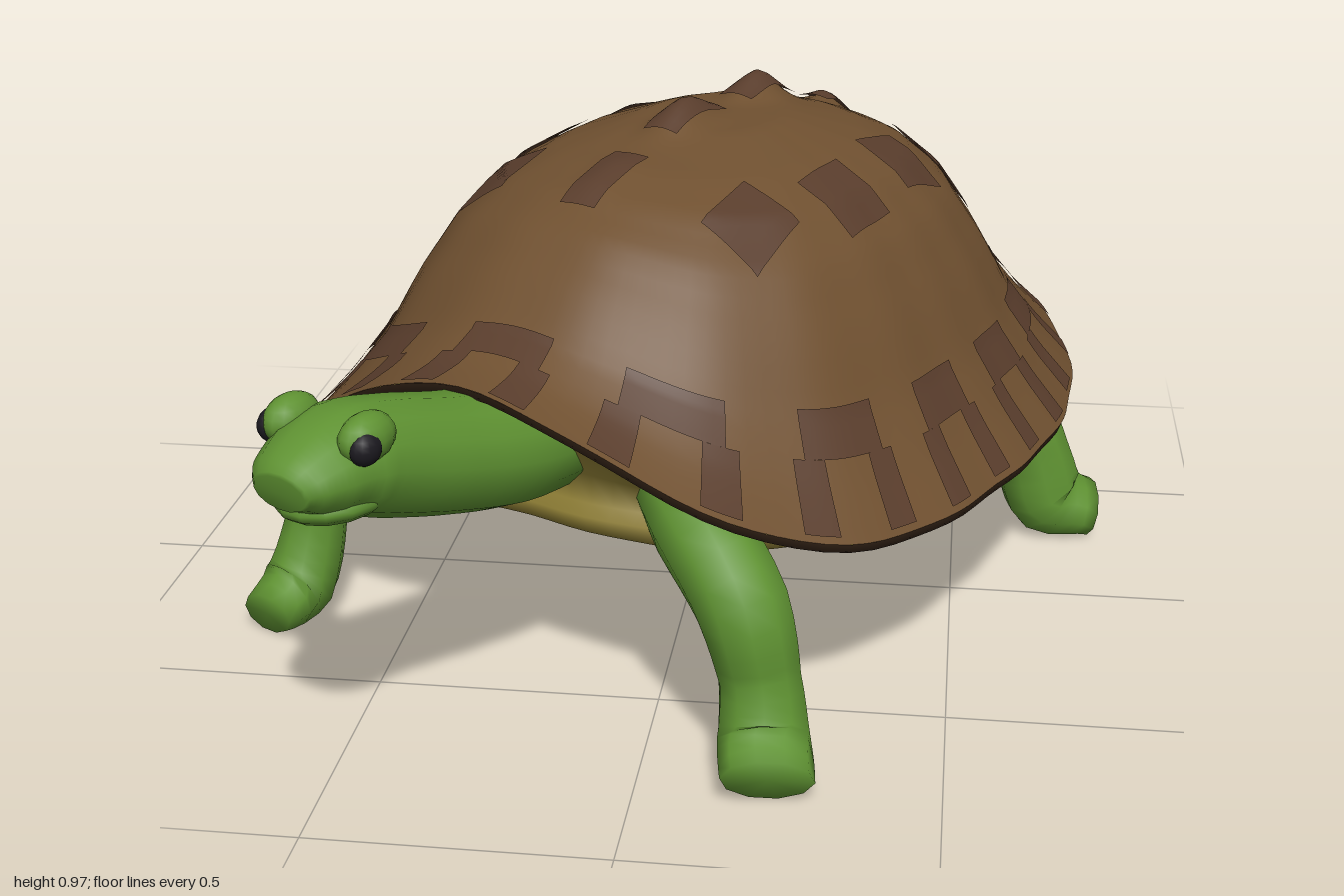
import * as THREE from 'three';
import { mergeVertices } from 'three/addons/utils/BufferGeometryUtils.js';

const paint = (color) => new THREE.MeshStandardMaterial({ color, side: THREE.DoubleSide });
const brown = paint(0x6f5030), darkBrown = paint(0x593d2c), lipBrown = paint(0x3a281a);
const skin = paint(0x5f9232), belly = paint(0x8c7c34), black = paint(0x1c1a20);

// Surface over a grid: fn(a, b) gives a point for a, b in 0..1
function surface(na, nb, fn) {
  const pos = [], idx = [];
  for (let i = 0; i <= nb; i++) for (let j = 0; j <= na; j++) pos.push(...fn(j / na, i / nb));
  for (let i = 0; i < nb; i++) for (let j = 0; j < na; j++) {
    const p = i * (na + 1) + j, q = p + na + 1;
    idx.push(p, p + 1, q, p + 1, q + 1, q);
  }
  let g = new THREE.BufferGeometry();
  g.setAttribute('position', new THREE.Float32BufferAttribute(pos, 3));
  g.setIndex(idx);
  g = mergeVertices(g, 1e-5);
  g.computeVertexNormals();
  return g;
}

// Closed loft through stations [x, y, z, rx, ry]
function loft(stations, sides = 12, steps = 24) {
  const curve = new THREE.CatmullRomCurve3(stations.map((s) => new THREE.Vector3(s[0], s[1], s[2])));
  const n = stations.length - 1, first = stations[0], last = stations[n];
  const ref = new THREE.Vector3(last[2] - first[2], 0, first[0] - last[0]).normalize();
  return surface(sides, steps + 2, (a, b) => {
    const k = Math.round(b * (steps + 2)) - 1;
    const t = THREE.MathUtils.clamp(k / steps, 0, 1);
    const cap = k < 0 || k > steps ? 0 : 1;
    const i = Math.min(Math.floor(t * n), n - 1), f = t * n - i;
    const radius = (c) => THREE.MathUtils.lerp(stations[i][c] ?? stations[i][3], stations[i + 1][c] ?? stations[i + 1][3], f) * cap;
    const T = curve.getTangent(t), p = curve.getPoint(t);
    const S = ref.clone().addScaledVector(T, -ref.dot(T)).normalize();
    const N = T.clone().cross(S), w = (a % 1) * Math.PI * 2;
    p.addScaledVector(S, Math.cos(w) * radius(3)).addScaledVector(N, Math.sin(w) * radius(4));
    return [p.x, Math.max(p.y, 0), p.z];
  });
}

// Shell shape: rounded oval outline, flared dome, raised front and back rim, knobbed keel
const DOME = [[0, 0.92], [0.2, 0.915], [0.4, 0.87], [0.52, 0.825], [0.63, 0.75], [0.73, 0.64], [0.81, 0.53], [0.9, 0.44], [1, 0.355]];
const KNOBS = [[0.36, 0.012], [0.1, 0.042], [-0.16, 0.042], [-0.46, 0.035]]; // [z, height]
const outline = (w) => {
  const front = Math.sin(w) > 0, n = front ? 2.55 : 2.15;
  const c = Math.abs(Math.cos(w)) / 0.645, s = Math.abs(Math.sin(w)) / (front ? 0.79 : 0.805);
  return (c ** n + s ** n) ** (-1 / n) * (1 + 0.004 * Math.cos(w * 18));
};
const lift = (w) => { const s = Math.sin(w); return s > 0 ? 0.28 * s ** 6 : 0.1 * s ** 4; };
const rim = (w) => 0.355 + lift(w);

function shellAt(x, z, offset = 0) {
  const w = Math.atan2(z, x), t = Math.min(Math.hypot(x, z) / outline(w), 1);
  let i = 0;
  while (i < DOME.length - 2 && t > DOME[i + 1][0]) i++;
  const [t0, y0] = DOME[i], [t1, y1] = DOME[i + 1];
  let y = y0 + (y1 - y0) * (t - t0) / (t1 - t0) + lift(w) * t ** 3;
  for (const [k, h] of KNOBS) y += h * Math.exp(-((x / 0.04) ** 2) - ((z - k) / 0.075) ** 2);
  return [x * (1 + offset), y + offset, z * (1 + offset)];
}
const shellPolar = (w, t, offset) => {
  const r = outline(w) * t;
  return shellAt(r * Math.cos(w), r * Math.sin(w), offset);
};

// Ring surface from a list of [t, y(w)] sections below the shell
const rings = (list) => surface(96, list.length - 1, (a, b) => {
  const w = (a % 1) * Math.PI * 2, [t, y] = list[Math.round(b * (list.length - 1))];
  const r = outline(w) * t;
  return [r * Math.cos(w), y(w), r * Math.sin(w)];
});

export function createModel() {
  const model = new THREE.Group();
  model.name = 'turtle';
  const body = new THREE.Group();
  body.name = 'body';
  body.position.set(0.03, 0, -0.06);
  body.rotation.y = -0.43;
  model.add(body);
  const add = (parent, name, geometry, material) => {
    const m = new THREE.Mesh(geometry, material);
    m.name = name;
    parent.add(m);
    return m;
  };

  // Shell and its rim
  add(body, 'shell', surface(120, 36, (a, b) => shellPolar((a % 1) * Math.PI * 2, b)), brown);
  add(body, 'shellLip', rings([[1, rim], [0.99, (w) => rim(w) - 0.018], [0.93, (w) => rim(w) - 0.01]]), lipBrown);

  // Dark arch-shaped marks around the rim
  const rimPatch = (w0, w1, t0, t1) => add(body, 'rimMark', surface(8, 6, (a, b) =>
    shellPolar(w0 + (w1 - w0) * a, t0 + (t1 - t0) * b, 0.004)), darkBrown);
  const count = 14, pitch = Math.PI * 2 / count;
  for (let i = 0; i < count; i++) {
    const w = (i + 0.5) * pitch, h = pitch * 0.35;
    rimPatch(w - h * 0.8, w + h * 0.8, 0.8, 0.87);
    rimPatch(w - h, w - h * 0.45, 0.87, 0.99);
    rimPatch(w + h * 0.45, w + h, 0.87, 0.99);
  }

  // Dark squares along each flank and on the keel
  const patch = (name, x, z, wx, wz, off) => add(body, name, surface(8, 8, (a, b) =>
    shellAt(x + (b - 0.5) * wx, z + (a - 0.5) * wz, off)), darkBrown);
  for (const side of [1, -1])
    for (const [x, z] of [[0.24, -0.42], [0.3, -0.16], [0.32, 0.09], [0.26, 0.31]])
      patch('flankMark', side * x, z, 0.11, 0.14, 0.005);
  for (const [z] of KNOBS) patch('keelMark', 0, z, 0.07, 0.17, 0.006);

  // Body wall and bulging belly plate with a hard edge
  add(body, 'belly', rings([
    [0.97, (w) => rim(w) - 0.012], [0.87, (w) => 0.365 + lift(w) * 0.75], [0.75, (w) => 0.37 + lift(w) * 0.25],
    [0.75, (w) => 0.355 + lift(w) * 0.1], [0.79, (w) => 0.34 + lift(w) * 0.12], [0.77, (w) => 0.3 + lift(w) * 0.14],
    [0.6, (w) => 0.25 + lift(w) * 0.1], [0.35, () => 0.215], [0, () => 0.205]]), belly);

  // Neck and head
  const head = new THREE.Group();
  head.name = 'head';
  body.add(head);
  add(head, 'neckAndHead', loft([
    [0, 0.48, 0.48, 0.12, 0.1], [0, 0.5, 0.68, 0.118, 0.105], [-0.012, 0.53, 0.82, 0.108, 0.1],
    [-0.03, 0.565, 0.94, 0.105, 0.098], [-0.045, 0.59, 1.03, 0.11, 0.09], [-0.045, 0.592, 1.1, 0.093, 0.07],
    [-0.045, 0.588, 1.145, 0.074, 0.05], [-0.045, 0.582, 1.168, 0.05, 0.032]], 14, 32), skin);
  const ball = (name, x, y, z, sx, sy, sz, material) => {
    const m = add(head, name, new THREE.SphereGeometry(1, 14, 10), material);
    m.position.set(x, y, z);
    m.scale.set(sx, sy, sz);
  };
  ball('lowerJaw', -0.045, 0.54, 1.05, 0.085, 0.036, 0.1, skin);
  for (const side of [1, -1]) {
    ball('brow', -0.045 + side * 0.074, 0.648, 1.05, 0.036, 0.04, 0.055, skin);
    ball('eye', -0.045 + side * 0.09, 0.642, 1.073, 0.023, 0.028, 0.03, black);
    ball('nostril', -0.045 + side * 0.02, 0.597, 1.164, 0.006, 0.006, 0.006, black);
  }

  // Tail
  add(body, 'tail', loft([[0.01, 0.4, -0.5, 0.09, 0.07], [0.015, 0.385, -0.7, 0.078, 0.052],
    [0.022, 0.355, -0.87, 0.046, 0.036], [0.03, 0.315, -1.035, 0.002]], 10), skin);

  // Legs in mid stride, each from hip to toe
  const legs = {
    frontRightLeg: [[-0.3, 0.37, 0.32, 0.07], [-0.53, 0.375, 0.26, 0.07], [-0.665, 0.325, 0.235, 0.068], [-0.68, 0.19, 0.245, 0.058],
      [-0.71, 0.075, 0.28, 0.075, 0.07], [-0.75, 0.045, 0.355, 0.062, 0.046]],
    frontLeftLeg: [[0, 0.4, 0.4, 0.07], [0.08, 0.39, 0.6, 0.08], [0.165, 0.29, 0.69, 0.08], [0.195, 0.17, 0.7, 0.07],
      [0.207, 0.075, 0.735, 0.08, 0.072], [0.22, 0.045, 0.815, 0.078, 0.046]],
    backLeftLeg: [[0.3, 0.37, -0.53, 0.065], [0.48, 0.345, -0.42, 0.08], [0.6, 0.265, -0.305, 0.085], [0.655, 0.16, -0.295, 0.078],
      [0.69, 0.075, -0.305, 0.09, 0.08], [0.775, 0.045, -0.32, 0.08, 0.046]],
    backRightLeg: [[0.1, 0.36, -0.45, 0.065], [-0.06, 0.345, -0.61, 0.078], [-0.145, 0.25, -0.68, 0.08], [-0.165, 0.16, -0.71, 0.072],
      [-0.185, 0.075, -0.74, 0.085, 0.078], [-0.27, 0.045, -0.765, 0.075, 0.046]],
  };
  for (const [name, path] of Object.entries(legs)) add(model, name, loft(path, 10, 20), skin);

  return model;
}
